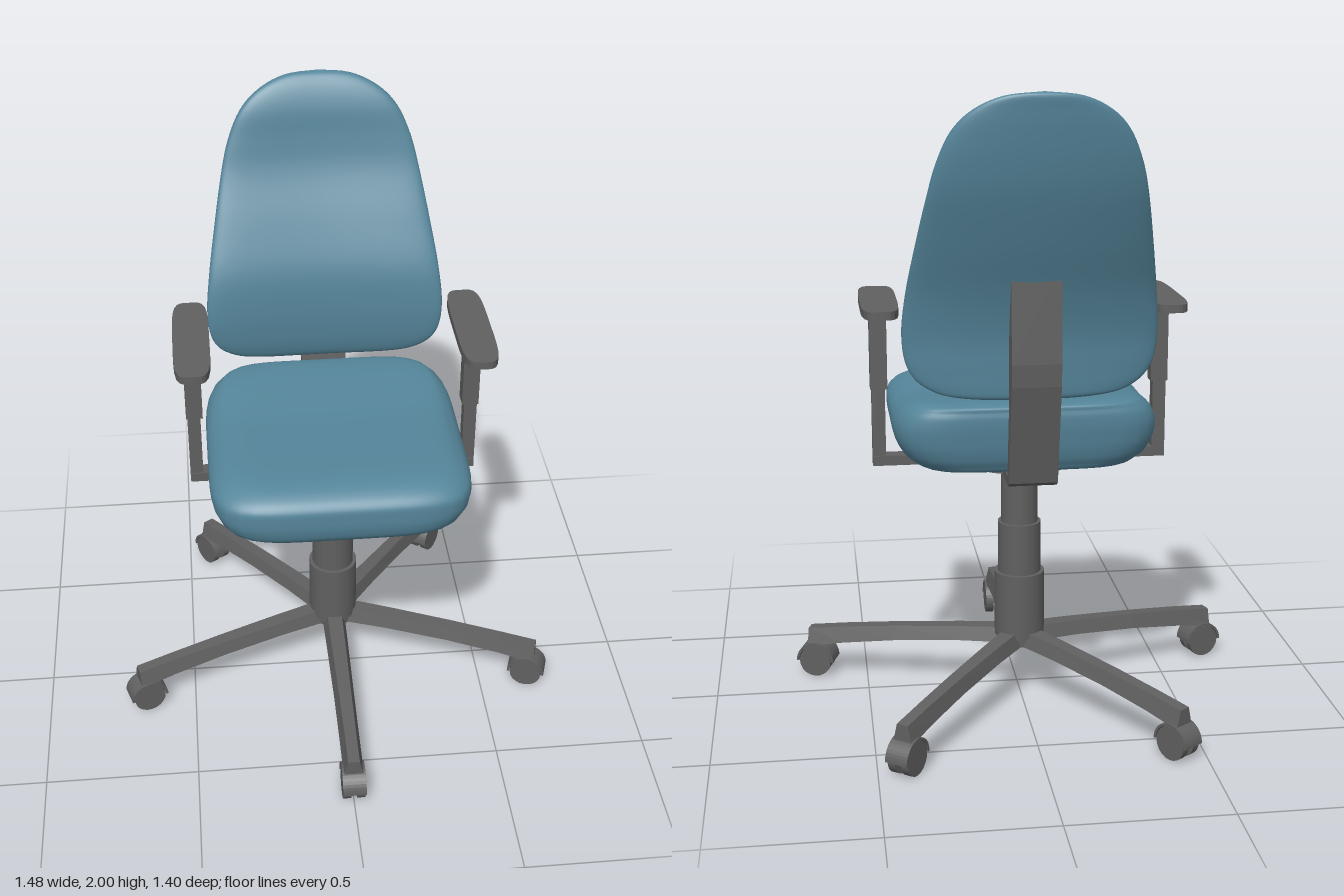
import * as THREE from 'three';

const fabric = new THREE.MeshStandardMaterial({ color: 0x55859a });
fabric.name = 'blue fabric';
const plastic = new THREE.MeshStandardMaterial({ color: 0x606060 });
plastic.name = 'grey plastic';

const COLUMN_Z = -0.06;

function add(parent, name, geometry, material, x = 0, y = 0, z = 0) {
  const mesh = new THREE.Mesh(geometry, material);
  mesh.name = name;
  mesh.position.set(x, y, z);
  parent.add(mesh);
  return mesh;
}

// Points of a rounded rectangle-like superellipse
function superellipse(w, d, n, count) {
  return Array.from({ length: count }, (_, j) => {
    const a = (j / count) * Math.PI * 2, c = Math.cos(a), s = Math.sin(a);
    const r = (Math.abs(c) ** n + Math.abs(s) ** n) ** (-1 / n);
    return new THREE.Vector2(w * c * r, d * s * r);
  });
}

// Skin over a stack of closed rings
function loft(rings, flat = false) {
  const n = rings[0].length, index = [];
  for (let i = 0; i < rings.length - 1; i++) {
    for (let j = 0; j < n; j++) {
      const a = i * n + j, b = i * n + (j + 1) % n;
      index.push(a, a + n, b, b, a + n, b + n);
    }
  }
  let geo = new THREE.BufferGeometry().setFromPoints(rings.flat());
  geo.setIndex(index);
  if (flat) geo = geo.toNonIndexed();
  geo.computeVertexNormals();
  return geo;
}

// Cushion from rows of [y, half width, front z, back z], with a bending rule
function cushion(rows, exponent, bend) {
  const outline = new THREE.CatmullRomCurve3(
    rows.map(r => new THREE.Vector3(r[0], r[1], 0)), false, 'catmullrom', 0.5);
  const depth = new THREE.CatmullRomCurve3(
    rows.map(r => new THREE.Vector3(r[2], r[3], 0)), false, 'catmullrom', 0.5);
  const steps = (rows.length - 1) * 5, rings = [];
  for (let i = 0; i <= steps; i++) {
    const o = outline.getPoint(i / steps), d = depth.getPoint(i / steps);
    const mid = (d.x + d.y) / 2, half = Math.max(0.0005, (d.x - d.y) / 2);
    rings.push(superellipse(Math.max(0.0005, o.y), half, exponent, 72)
      .map(p => bend(new THREE.Vector3(p.x, o.x, mid + p.y))));
  }
  return loft(rings);
}

// Side profile given as [z, y], extruded across x
function sideExtrude(points, width) {
  const shape = new THREE.Shape(points.map(p => new THREE.Vector2(p[0], p[1])));
  return new THREE.ExtrudeGeometry(shape, { depth: width, bevelEnabled: false })
    .rotateY(-Math.PI / 2).translate(width / 2, 0, 0);
}

function makeCaster() {
  const caster = new THREE.Group();
  caster.name = 'caster';
  const wheel = new THREE.CylinderGeometry(0.054, 0.054, 0.026, 20).rotateZ(Math.PI / 2);
  for (const s of [-1, 1]) add(caster, 'wheel', wheel, plastic, s * 0.023, 0.054, 0);
  add(caster, 'axle', new THREE.CylinderGeometry(0.018, 0.018, 0.03, 12).rotateZ(Math.PI / 2),
    plastic, 0, 0.054, 0);
  // Arched hood over both wheels
  const arch = new THREE.Shape();
  arch.absarc(0, 0, 0.064, 0, Math.PI, false);
  arch.absarc(0, 0, 0.056, Math.PI, 0, true);
  add(caster, 'hood', new THREE.ExtrudeGeometry(arch, { depth: 0.076, bevelEnabled: false, curveSegments: 10 })
    .rotateY(-Math.PI / 2).translate(0.038, 0, 0), plastic, 0, 0.054, 0);
  caster.position.z = 0.7;
  return caster;
}

function makeBase() {
  const base = new THREE.Group();
  base.name = 'base';
  base.position.z = COLUMN_Z;
  // Leg sections: [reach, top y, bottom y, half top width, half bottom width]
  const sections = [
    [0.0, 0.224, 0.175, 0.026, 0.04], [0.2, 0.213, 0.168, 0.024, 0.037],
    [0.42, 0.197, 0.15, 0.021, 0.034], [0.6, 0.18, 0.127, 0.019, 0.033],
    [0.725, 0.165, 0.105, 0.019, 0.033],
  ];
  const rings = sections.map(([r, t, b, ht, hb]) => [[ht, t], [hb, b], [-hb, b], [-ht, t]]
    .map(([x, y]) => new THREE.Vector3(x, y, r)));
  const cap = Array.from({ length: 4 }, () => new THREE.Vector3(0, 0.135, 0.725));
  const legGeo = loft([...rings, cap], true);
  for (let k = 0; k < 5; k++) {
    const arm = new THREE.Group();
    arm.name = 'baseArm';
    arm.rotation.y = k * Math.PI * 2 / 5;
    add(arm, 'leg', legGeo, plastic);
    arm.add(makeCaster());
    base.add(arm);
  }
  add(base, 'hub', new THREE.CylinderGeometry(0.075, 0.075, 0.05, 10), plastic, 0, 0.198, 0);

  // Telescoping column
  for (const [name, r, y0, y1] of [['lowerColumn', 0.082, 0.2, 0.42],
    ['middleColumn', 0.07, 0.42, 0.59], ['upperColumn', 0.06, 0.59, 0.81]]) {
    add(base, name, new THREE.CylinderGeometry(r, r, y1 - y0, 28), plastic, 0, (y0 + y1) / 2, 0);
  }
  return base;
}

function makeArmrest(side) {
  const arm = new THREE.Group();
  arm.name = side > 0 ? 'leftArmrest' : 'rightArmrest';
  arm.position.set(side * 0.447, 0, COLUMN_Z - 0.003);
  add(arm, 'lowerPost', new THREE.BoxGeometry(0.042, 0.5, 0.042), plastic, side * 0.005, 1.05, 0);
  add(arm, 'postSleeve', new THREE.BoxGeometry(0.054, 0.25, 0.054), plastic, side * 0.003, 1.175, 0);
  add(arm, 'postCap', new THREE.BoxGeometry(0.07, 0.025, 0.07), plastic, 0, 1.3, 0);
  const pad = new THREE.Shape(superellipse(0.058, 0.226, 4.5, 40));
  add(arm, 'armPad', new THREE.ExtrudeGeometry(pad, { depth: 0.026, bevelEnabled: false })
    .rotateX(Math.PI / 2), plastic, 0, 1.336, 0);
  return arm;
}

export function createModel() {
  const chair = new THREE.Group();
  chair.name = 'officeChair';
  chair.add(makeBase());

  // Seat, slightly dished on top
  add(chair, 'seat', cushion([
    [0.828, 0, 0.02, 0.02], [0.828, 0.18, 0.2, -0.16], [0.832, 0.31, 0.34, -0.31],
    [0.858, 0.37, 0.39, -0.342], [0.9, 0.402, 0.408, -0.358], [0.945, 0.414, 0.411, -0.366],
    [0.99, 0.408, 0.406, -0.371], [1.03, 0.382, 0.378, -0.368], [1.052, 0.33, 0.32, -0.345],
    [1.056, 0.18, 0.2, -0.16], [1.056, 0, 0.02, 0.02],
  ], 5.5, p => {
    const top = THREE.MathUtils.smoothstep(p.y, 0.95, 1.05);
    p.y -= top * 0.024 * THREE.MathUtils.smoothstep(p.z, -0.34, 0);
    return p;
  }), fabric);

  // Backrest, with its sides wrapping forward
  add(chair, 'backrest', cushion([
    [1.07, 0, -0.365, -0.365], [1.08, 0.22, -0.35, -0.382], [1.11, 0.32, -0.337, -0.387],
    [1.17, 0.374, -0.326, -0.39], [1.27, 0.39, -0.322, -0.398], [1.4, 0.378, -0.338, -0.432],
    [1.55, 0.352, -0.398, -0.49], [1.7, 0.322, -0.468, -0.543], [1.8, 0.296, -0.496, -0.568],
    [1.89, 0.255, -0.513, -0.583], [1.95, 0.195, -0.535, -0.59], [1.988, 0.11, -0.56, -0.593],
    [2.0, 0, -0.582, -0.582],
  ], 2.7, p => {
    p.z += 0.28 * p.x * p.x;
    return p;
  }), fabric);

  // Mounting plate, cross bar and back support under the seat
  add(chair, 'seatPlate', new THREE.CylinderGeometry(0.19, 0.19, 0.03, 32), plastic, 0, 0.816, COLUMN_Z);
  add(chair, 'crossBar', new THREE.BoxGeometry(0.945, 0.032, 0.05), plastic, 0, 0.815, COLUMN_Z - 0.003);
  add(chair, 'backSupport', sideExtrude([
    [-0.1, 0.8], [-0.365, 0.8], [-0.39, 0.815], [-0.455, 1.13], [-0.46, 1.2], [-0.445, 1.51],
    [-0.425, 1.51], [-0.39, 1.25], [-0.395, 1.08], [-0.35, 0.83], [-0.1, 0.83],
  ], 0.15), plastic);

  for (const side of [-1, 1]) chair.add(makeArmrest(side));
  return chair;
}
